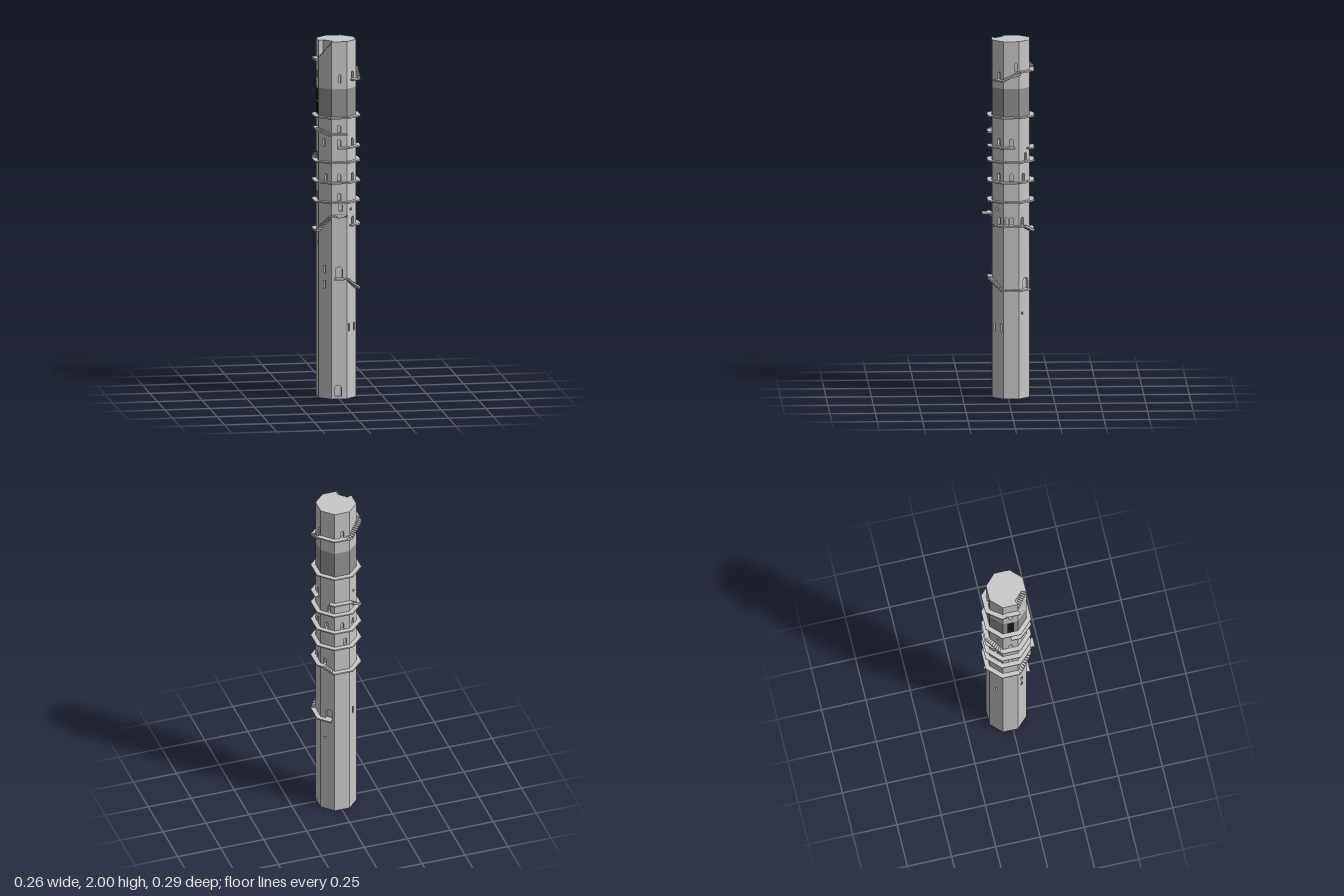
import * as THREE from 'three';
import { mergeGeometries } from 'three/addons/utils/BufferGeometryUtils.js';

const WALL = 0.104;   // distance from axis to each wall face
const LEDGE = 0.129;  // distance from axis to the walkway edge
const DEEP = 0.014;   // depth of doors and windows
const TAN = Math.tan(Math.PI / 8);
const FACES = [...Array(8).keys()];

// Position around the octagon: whole t = face centre (0 front, 2 = +x, 4 back, 6 = -x)
function at(t, a) {
  const k = Math.round(t), ang = k * Math.PI / 4, u = (t - k) * 2 * a * TAN;
  return [Math.sin(ang) * a + Math.cos(ang) * u, Math.cos(ang) * a - Math.sin(ang) * u];
}

// Upright prism over a plan outline of [x, z] points
function prism(points, y, h) {
  const shape = new THREE.Shape(points.map(([x, z]) => new THREE.Vector2(x, -z)));
  return new THREE.ExtrudeGeometry(shape, { depth: h, bevelEnabled: false })
    .rotateX(-Math.PI / 2).translate(0, y, 0);
}

const octagon = a => FACES.map(k => at(k + 0.5, a));

// Piece of walkway within one face; y is its upper surface
function slab(t0, t1, y, h = 0.008, inner = WALL - 0.002, outer = LEDGE) {
  const a = t0 + 1e-5, b = t1 - 1e-5;
  return prism([at(a, inner), at(a, outer), at(b, outer), at(b, inner)], y - h, h);
}

// Level walkway, split at the corners
function level(t0, t1, y) {
  const parts = [];
  for (let t = t0; t < t1 - 1e-6;) {
    const end = Math.min(t1, Math.floor(t + 0.5 + 1e-6) + 0.5);
    parts.push(slab(t, end, y));
    t = end;
  }
  return parts;
}

// Flight of steps hugging the wall, eight to each face
function stair(t0, t1, y0, y1) {
  const n = Math.round((t1 - t0) * 8);
  return [...Array(n).keys()].map(i =>
    slab(t0 + i / 8, t0 + (i + 1) / 8, y0 + (y1 - y0) * (i + 0.5) / n, 0.013));
}

// Openings of one kind, at sill height y and positions ts around the walls
const kind = (w, h, arched) => (y, ...ts) => ts.map(t => ({ t, y, w, h, arched }));
const gate = kind(0.038, 0.062, true);
const door = kind(0.019, 0.042, true);
const slit = kind(0.012, 0.045, false);
const vent = kind(0.014, 0.014, false);
const openings = [
  gate(0.015, -0.06), gate(0.677, 0), gate(0.612, 3.1),
  door(0.973, 1.15, 1.68, 2, 2.8), door(1.05, 0.1), door(1.11, 0, 4.2, 6),
  door(1.217, 0, 1.1, 2, 2.9, 4, 5, 7.1), door(1.331, 3.1, 6),
  door(1.412, 0, 1.1, 2, 6.9), door(1.49, 0), door(1.785, 1.12, 6), door(1.835, 2.3, 4),
  slit(0.375, 0.75, 1.3), slit(0.615, 5, 6.95), slit(0.7, 6.95), slit(1.768, 0.05),
  vent(1.05, 0.95), vent(0.47, 2.8), vent(1.43, 5.1), vent(0.86, 6.1),
].flat();

// Wall panel of one face with its openings cut out
function panel(face, y0, y1) {
  const half = WALL * TAN, shape = new THREE.Shape();
  shape.moveTo(-half, y0).lineTo(half, y0).lineTo(half, y1).lineTo(-half, y1).closePath();
  for (const { t, y, w, h, arched } of openings) {
    if ((Math.round(t) + 8) % 8 !== face || y < y0 || y + h > y1) continue;
    const x = (t - face) * 2 * half, r = w / 2, hole = new THREE.Path();
    hole.moveTo(x - r, y).lineTo(x + r, y);
    if (arched) hole.lineTo(x + r, y + h - r).absarc(x, y + h - r, r, 0, Math.PI, false);
    else hole.lineTo(x + r, y + h).lineTo(x - r, y + h);
    hole.closePath();
    shape.holes.push(hole);
  }
  return new THREE.ExtrudeGeometry(shape, { depth: DEEP, bevelEnabled: false, curveSegments: 6 })
    .translate(0, 0, WALL - DEEP).rotateY(face * Math.PI / 4);
}

export function createModel() {
  const tower = new THREE.Group();
  tower.name = 'tower';
  const paint = (name, color) => {
    const m = new THREE.MeshStandardMaterial({ color });
    m.name = name;
    return m;
  };
  const stone = paint('light stone', 0xc8c8c8);
  const darkStone = paint('dark stone', 0x949494);
  const black = paint('black opening', 0x1c1c1c);
  const add = (name, material, ...parts) => {
    const mesh = new THREE.Mesh(mergeGeometries(parts.flat()), material);
    mesh.name = name;
    tower.add(mesh);
  };

  // Shaft: solid core behind cut wall panels
  add('core', stone, prism(octagon(WALL - DEEP), 0, 1.9));
  add('lowerWall', stone, FACES.map(f => panel(f, 0, 1.575)));
  add('upperWall', stone, FACES.map(f => panel(f, 1.735, 1.9)));

  // Dark band in two courses, with black panels on one side
  add('darkBand', darkStone, [1.575, 1.655].map(y => prism(octagon(WALL), y, 0.08)));
  add('bandOpenings', black, [1.62, 1.692].map(y =>
    new THREE.BoxGeometry(0.006, 0.06, 0.036).translate(-WALL - 0.001, y, 0)));

  // Crown with a slot for the last flight of steps to the roof
  const slot = WALL - 0.026, slotEnd = 7.5 - 1e-5;
  add('crown', stone, prism([...octagon(WALL).slice(0, 7), at(6.5, slot),
    at(slotEnd, slot), at(slotEnd, WALL)], 1.9, 0.1));
  add('roofSteps', stone, FACES.map(i => {
    const h = 0.012 + i * 0.011, t = 6.5 + i / 8;
    return slab(t, t + 0.125, 1.9 + h, h, slot, WALL);
  }));

  // Full ring walkways
  for (const y of [1.105, 1.215, 1.329, 1.579]) add('ringWalkway', stone, level(-0.5, 7.5, y));

  // Walkway from the low front door down to the side door
  add('lowWalkway', stone, level(-0.3, 0.5, 0.677), stair(0.5, 1.5, 0.677, 0.615),
    level(1.5, 3.3, 0.612));

  // Walkway winding below the rings, with its front landing
  add('middleWalkway', stone, level(0.8, 2.875, 0.972), stair(2.875, 3.5, 0.972, 0.942),
    level(3.5, 6.5, 0.942), stair(6.5, 7.5, 0.942, 1.03), level(-0.5, 0.4, 1.03));
  add('frontLanding', stone, new THREE.BoxGeometry(0.052, 0.008, 0.056).translate(0.007, 1.026, 0.13));

  // Partial walkways between the rings
  add('highWalkway', stone, level(-0.1, 2.2, 1.41), level(3.2, 4.5, 1.4),
    stair(4.5, 5.5, 1.4, 1.332));
  add('topWalkway', stone, level(6, 6.5, 1.515), stair(6.5, 7.5, 1.515, 1.487),
    level(7.5, 8.4, 1.487));

  // Spiral stair climbing from above the band to the crown
  add('spiralStair', stone, level(0.9, 1.5, 1.785), stair(1.5, 2.5, 1.79, 1.832),
    level(2.5, 4.25, 1.834), stair(4.25, 5.75, 1.834, 1.9), level(5.75, 6.5, 1.9));

  tower.position.set(-0.001, 0, -0.016);
  const root = new THREE.Group();
  root.name = 'octagonalTower';
  root.add(tower);
  return root;
}
